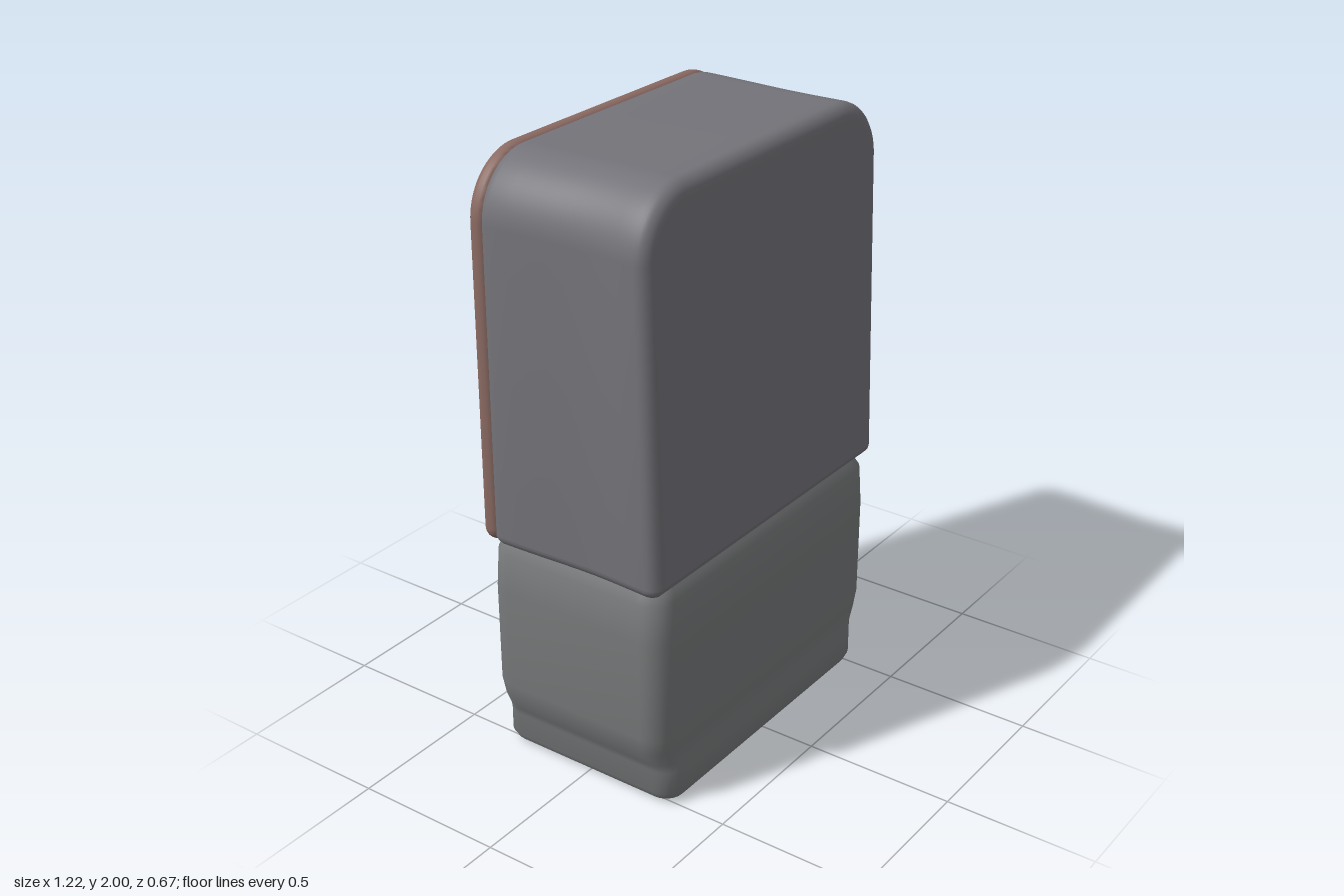
import * as THREE from 'three';
import { toCreasedNormals } from 'three/addons/utils/BufferGeometryUtils.js';

// Rounded rectangle with separate bottom and top corner radii
function roundRect(x0, x1, y0, y1, rb, rt = rb, Kind = THREE.Shape) {
  const s = new Kind();
  s.moveTo(x0 + rb, y0);
  s.lineTo(x1 - rb, y0);
  s.absarc(x1 - rb, y0 + rb, rb, -Math.PI / 2, 0);
  s.lineTo(x1, y1 - rt);
  s.absarc(x1 - rt, y1 - rt, rt, 0, Math.PI / 2);
  s.lineTo(x0 + rt, y1);
  s.absarc(x0 + rt, y1 - rt, rt, Math.PI / 2, Math.PI);
  s.lineTo(x0, y0 + rb);
  s.absarc(x0 + rb, y0 + rb, rb, Math.PI, Math.PI * 1.5);
  return s;
}

// Extrusion with rounded edges filling z0..z1 exactly
function extrude(shape, z0, z1, bevel, steps = 1, bevelSegments = 3) {
  const g = new THREE.ExtrudeGeometry(shape, {
    depth: z1 - z0 - 2 * bevel, steps, curveSegments: 10,
    bevelThickness: bevel, bevelSize: bevel, bevelOffset: -bevel, bevelSegments,
  });
  return g.translate(0, 0, z0 + bevel);
}

// Stack of rounded-rectangle rings: [y, halfWidth, halfDepth, cornerRadius]
function loft(rings, seg = 6) {
  const pos = [], idx = [], n = 4 * (seg + 1);
  for (const [y, w, d, r] of rings) {
    for (let c = 0; c < 4; c++) {
      const sx = c === 0 || c === 3 ? 1 : -1, sz = c < 2 ? 1 : -1;
      for (let k = 0; k <= seg; k++) {
        const a = (c + k / seg) * Math.PI / 2;
        pos.push(sx * (w - r) + r * Math.cos(a), y, sz * (d - r) + r * Math.sin(a));
      }
    }
  }
  for (let j = 0; j < rings.length - 1; j++) {
    for (let i = 0; i < n; i++) {
      const a = j * n + i, b = j * n + (i + 1) % n;
      idx.push(a, a + n, b, b, a + n, b + n);
    }
  }
  const g = new THREE.BufferGeometry();
  g.setAttribute('position', new THREE.Float32BufferAttribute(pos, 3));
  g.setIndex(idx);
  return g;
}

export function createModel() {
  const model = new THREE.Group();
  const add = (name, geo, color, parent = model) => {
    const mesh = new THREE.Mesh(toCreasedNormals(geo, 0.7), new THREE.MeshStandardMaterial({ color }));
    mesh.name = name;
    parent.add(mesh);
    return mesh;
  };

  // Base cabinet with a narrower foot
  add('base', loft([
    [0, 0.002, 0.002, 0.001], [0, 0.47, 0.29, 0.05], [0.015, 0.525, 0.322, 0.06],
    [0.04, 0.54, 0.333, 0.07], [0.12, 0.54, 0.333, 0.07], [0.15, 0.553, 0.325, 0.07],
    [0.2, 0.578, 0.328, 0.08], [0.26, 0.588, 0.333, 0.08], [0.6, 0.59, 0.333, 0.08],
    [0.73, 0.587, 0.325, 0.08], [0.76, 0.573, 0.312, 0.08], [0.8, 0.56, 0.29, 0.08],
  ]), 0x77797a);

  // Upper housing: leans back at the front, sides slightly waisted
  const body = extrude(roundRect(-0.608, 0.608, 0.765, 2, 0.04, 0.2), -0.3, 0.335, 0.05, 8, 5);
  const p = body.attributes.position;
  for (let i = 0; i < p.count; i++) {
    const z = p.getZ(i), y = p.getY(i);
    p.setX(i, p.getX(i) * (1 - 0.022 * Math.exp(-(((z - 0.08) / 0.2) ** 2))));
    if (z > 0) p.setZ(i, z * (1 - 0.11 * (y - 0.765) / 1.235));
  }
  add('housing', body, 0x747379);

  // Rounded trim around the screen on the back
  const trim = roundRect(-0.609, 0.609, 0.77, 2, 0.05, 0.2);
  trim.holes.push(roundRect(-0.545, 0.545, 0.83, 1.94, 0.03, 0.14, THREE.Path));
  add('screenTrim', extrude(trim, -0.325, -0.265, 0.028, 1, 5), 0x8a6a62);

  // Screen on the back
  const screen = new THREE.Group();
  screen.name = 'screen';
  model.add(screen);
  const slab = (name, color, x0, x1, y0, y1, zBack, r = 0.012, rt = r) =>
    add(name, extrude(roundRect(x0, x1, y0, y1, r, rt), zBack, -0.28, 0.006), color, screen);

  slab('screenBorder', 0x2e343c, -0.55, 0.55, 0.82, 1.945, -0.304, 0.03, 0.14);
  slab('headerBar', 0x2b2e3b, -0.53, 0.53, 1.75, 1.925, -0.308, 0.02, 0.1);
  slab('titleStrip', 0x55586a, -0.18, 0.4, 1.81, 1.865, -0.314, 0.02);
  slab('page', 0xa9adae, -0.505, 0.525, 0.91, 1.75, -0.31);
  slab('toolbar', 0x76868e, -0.49, 0.51, 1.575, 1.735, -0.315);
  add('lowerBar', extrude(roundRect(-0.56, 0.56, 0.785, 0.92, 0.04), -0.332, -0.28, 0.022, 1, 4), 0x3b4648, screen);

  // Round buttons
  const disc = (name, color, x, y, r, z) => {
    const m = add(name, new THREE.CylinderGeometry(r * 0.85, r, 0.02, 20).rotateX(-Math.PI / 2), color, screen);
    m.position.set(x, y, z);
  };
  disc('headerButtonRing', 0x3a2f2c, -0.4, 1.855, 0.052, -0.306);
  disc('headerButton', 0x94724e, -0.4, 1.855, 0.036, -0.312);
  for (const x of [0.41, 0.3, 0.19, 0.09, -0.01, -0.22, -0.34]) {
    disc('toolbarButton', 0x4b5f6b, x, 1.65, 0.026, -0.312);
    disc('toolbarButtonCentre', 0xa4b0b4, x, 1.65, 0.013, -0.315);
  }

  // Two by two cards, each with a dark frame and small inner blocks
  const cards = [
    [0.21, 1.33, 0xa4604f, [0x8d4c40, 0xb4766a]],
    [-0.1, 1.33, 0x8f9494, [0x777d7f, 0xb9bcba]],
    [0.21, 1.015, 0x82898b, [0x5f7f90, 0xb0a79b]],
    [-0.1, 1.015, 0x8d8f8c, [0xb3a48e, 0xa99b88]],
  ];
  for (const [x, y, color, inner] of cards) {
    slab('cardFrame', 0x6c7173, x - 0.012, x + 0.282, y - 0.012, y + 0.222, -0.314);
    slab('card', color, x, x + 0.27, y, y + 0.21, -0.32);
    inner.forEach((c, i) =>
      slab('cardBlock', c, x + 0.035 + i * 0.095, x + 0.12 + i * 0.095, y + 0.03, y + 0.17, -0.325));
  }

  // Tall side panel with a picture and rows beneath
  slab('sidePanel', 0x263a49, -0.44, -0.2, 1, 1.545, -0.318);
  slab('sidePicture', 0x24566a, -0.425, -0.215, 1.28, 1.53, -0.323);
  disc('sideMark', 0xa08468, -0.32, 1.43, 0.022, -0.316);
  [0x2f6b7d, 0x27405a, 0x2c7284, 0x26303f].forEach((c, i) =>
    slab('sideRow', c, -0.425, -0.215, 1.215 - i * 0.065, 1.265 - i * 0.065, -0.324));

  return model;
}
